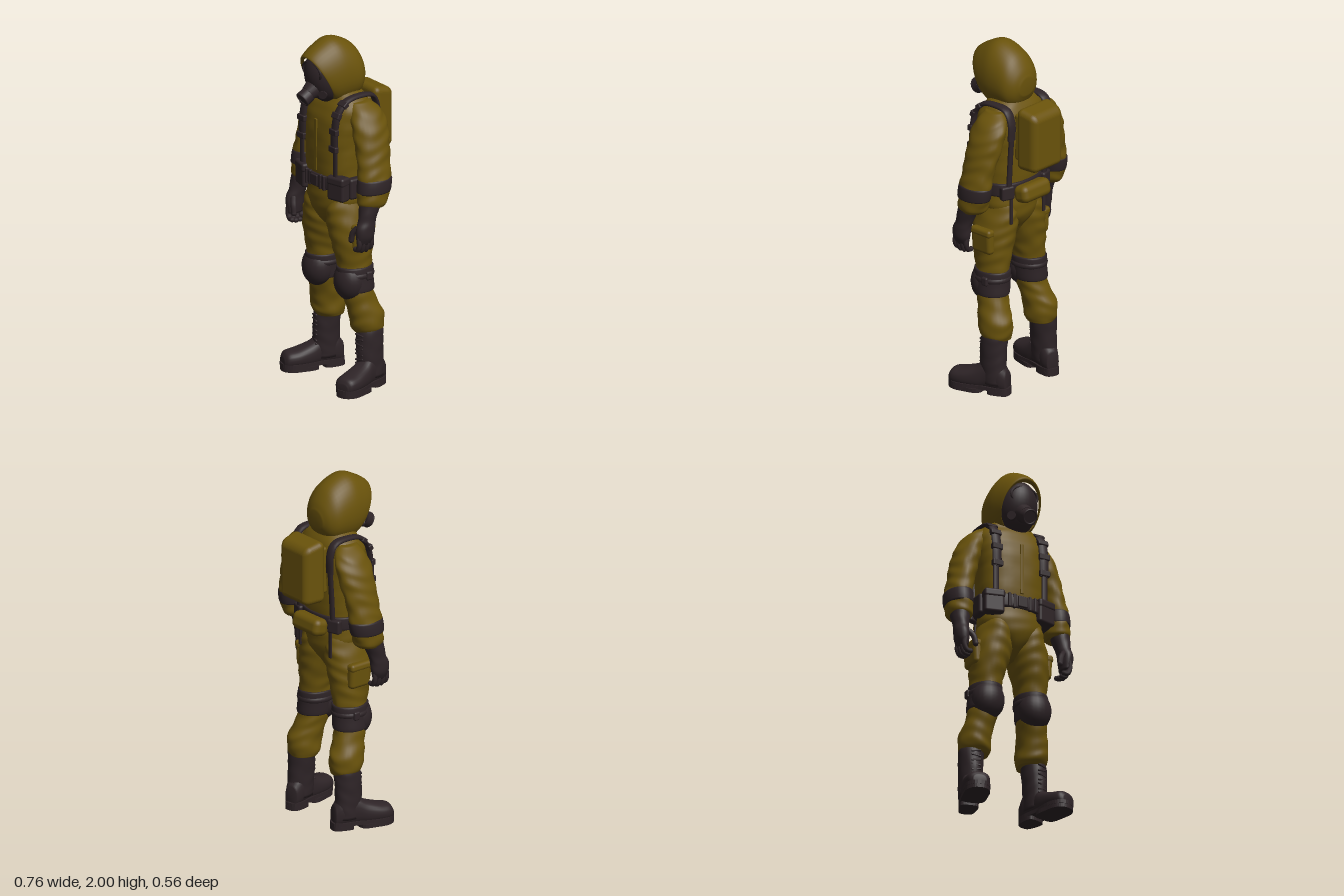
import * as THREE from 'three';
import { RoundedBoxGeometry } from 'three/addons/geometries/RoundedBoxGeometry.js';

const V = (x, y, z) => new THREE.Vector3(x, y, z);

// Smooth loft through cross-sections [x, y, z, radiusX, radiusZ], ordered upwards.
// tilts turn the rings about x (-PI/2: upright rings, ordered front to back); egg narrows their upper half.
function loft(sections, { p = 2, fold = 0, sides = 28, steps = 5, tilts = null, egg = 0, caps = [true, true] } = {}) {
  const mid = new THREE.CatmullRomCurve3(sections.map(s => V(s[0], s[1], s[2])), false, 'catmullrom');
  const rad = new THREE.CatmullRomCurve3(sections.map((s, i) => V(s[3], s[4], tilts ? tilts[i] : 0)), false, 'catmullrom');
  const rows = (sections.length - 1) * steps, pos = [], index = [];
  const pw = v => Math.sign(v) * Math.abs(v) ** (2 / p);
  const ring = (t, k) => {
    const c = mid.getPoint(t), r = rad.getPoint(t);
    for (let j = 0; j < sides; j++) {
      const a = j / sides * Math.PI * 2;
      // cloth folds: soft diagonal waves
      const f = k * (1 + fold * (Math.sin(c.y * 75 + 2 * Math.sin(a * 2 + c.y * 9)) + 0.7 * Math.sin(a * 5 + c.y * 38)));
      const u = pw(Math.cos(a)) * r.x * f * (1 - egg * Math.sin(a)), v = pw(Math.sin(a)) * r.y * f;
      pos.push(c.x + u, c.y - Math.sin(r.z) * v, c.z + Math.cos(r.z) * v);
    }
  };
  if (caps[0]) ring(0, 0);
  for (let i = 0; i <= rows; i++) ring(i / rows, 1);
  if (caps[1]) ring(1, 0);
  const n = pos.length / 3 / sides;
  for (let i = 0; i < n - 1; i++) for (let j = 0; j < sides; j++) {
    const a = i * sides + j, b = i * sides + (j + 1) % sides, d = a + sides, c = b + sides;
    index.push(a, d, b, b, d, c);
  }
  const g = new THREE.BufferGeometry();
  g.setAttribute('position', new THREE.Float32BufferAttribute(pos, 3));
  g.setIndex(index);
  g.computeVertexNormals();
  return g;
}

// Flat rounded band in the yz plane, widened along x
function band(points, x, halfWidth, r) {
  const g = new THREE.TubeGeometry(new THREE.CatmullRomCurve3(points.map(q => V(0, q[0], q[1]))), 40, r, 10);
  g.scale(halfWidth / r, 1, 1);
  return g.translate(x, 0, 0);
}

const box = (w, h, d, r = 0.015) => new RoundedBoxGeometry(w, h, d, 3, r);

export function createModel() {
  const suit = new THREE.MeshStandardMaterial({ color: 0x6a530b });
  const gear = new THREE.MeshStandardMaterial({ color: 0x2e2427 });
  suit.name = 'ochre suit cloth';
  gear.name = 'dark rubber gear';

  const model = new THREE.Group();
  model.name = 'protectiveSuitFigure';
  const left = new THREE.Group();
  left.name = 'leftSide';
  const add = (parent, name, geo, mat, x = 0, y = 0, z = 0, rx = 0, ry = 0, rz = 0) => {
    const m = new THREE.Mesh(geo, mat);
    m.name = name;
    m.position.set(x, y, z);
    m.rotation.set(rx, ry, rz);
    parent.add(m);
    return m;
  };

  // Torso and hips
  add(model, 'jacket', loft([[0, 1.14, .02, .175, .135], [0, 1.25, .022, .185, .145], [0, 1.4, .02, .19, .15], [0, 1.52, .012, .2, .15],
    [0, 1.6, .005, .2, .135], [0, 1.655, 0, .168, .112], [0, 1.7, .01, .11, .09]], { p: 2.5, fold: .008, sides: 40 }), suit);
  add(model, 'trouserSeat', loft([[0, .885, .01, .02, .05], [0, .93, .02, .055, .09], [0, 1, .02, .14, .135], [0, 1.07, .022, .182, .146],
    [0, 1.13, .022, .18, .144], [0, 1.2, .025, .178, .135]], { p: 2.2, fold: .006, sides: 40 }), suit);
  add(model, 'zipPlacket', box(.022, .3, .01, .004), suit, 0, 1.39, .168);

  // Hood, opening forward; each entry is top z, top y, bottom z, bottom y, half width
  const hood = [[.212, 1.895, .085, 1.65, .111], [.235, 1.912, .09, 1.635, .118], [.165, 1.965, .07, 1.62, .132], [.07, 2, .025, 1.62, .14],
    [-.04, 1.955, -.05, 1.635, .132], [-.1, 1.88, -.085, 1.665, .102], [-.122, 1.82, -.115, 1.72, .055]];
  add(model, 'hood', loft(hood.map(([tz, ty, bz, by, w]) => [0, (ty + by) / 2, (tz + bz) / 2, w, Math.hypot(tz - bz, ty - by) / 2]),
    { p: 2.1, egg: .09, sides: 40, tilts: hood.map(([tz, ty, bz, by]) => -Math.atan2(ty - by, tz - bz)), caps: [false, true] }), suit);
  add(model, 'collar', loft([[0, 1.575, .02, .08, .1], [0, 1.65, .02, .118, .095], [0, 1.7, .01, .118, .085]], { fold: .01 }), suit);

  // Gas mask, filling the hood opening
  const face = new THREE.SphereGeometry(1, 32, 20).scale(.112, .152, .1);
  add(model, 'maskFace', face, gear, 0, 1.772, .115, .32);
  add(model, 'visorFrame', new THREE.TorusGeometry(.07, .007, 8, 32).scale(1.15, .75, 1), gear, 0, 1.82, .194, .12);
  add(model, 'maskSnout', new THREE.CylinderGeometry(.042, .068, .09, 24), gear, 0, 1.718, .183, 2.1);
  add(model, 'filterCanister', new THREE.CylinderGeometry(.044, .044, .045, 24), gear, 0, 1.68, .238, 2.1);
  add(model, 'filterRim', new THREE.TorusGeometry(.039, .006, 8, 24), gear, 0, 1.669, .257, .53);
  add(left, 'maskValve', new THREE.CylinderGeometry(.024, .03, .04, 16), gear, .058, 1.7, .16, 1.8, 0, -.7);

  // Belt
  const beltRing = (y, k) => [0, y, .023, .19 + k, .15 + k];
  add(model, 'belt', loft([beltRing(1.15, 0), beltRing(1.16, .005), beltRing(1.215, .005), beltRing(1.225, 0)], { p: 2.5, sides: 40, steps: 2 }), gear);
  add(model, 'buckle', box(.06, .065, .02, .006), gear, 0, 1.187, .175);

  // Backpack, narrowing to the rear with a sloped lid
  const pack = new RoundedBoxGeometry(.25, .36, .13, 5, .034);
  const pp = pack.attributes.position;
  for (let i = 0; i < pp.count; i++) {
    const back = .5 - pp.getZ(i) / .13, up = pp.getY(i) / .36 + .5;
    pp.setX(i, pp.getX(i) * (1.02 - .1 * back));
    if (up > .8) pp.setY(i, pp.getY(i) - .03 * back * back);
    pp.setZ(i, pp.getZ(i) - .012 * (1 - (pp.getX(i) / .125) ** 2) * back);
  }
  pack.computeVertexNormals();
  add(model, 'backpack', pack, suit, 0, 1.503, -.209);
  add(model, 'backpackBase', box(.2, .27, .05), suit, 0, 1.5, -.135);
  add(model, 'lowerBackPouch', box(.22, .1, .1, .035), suit, 0, 1.165, -.155, .2);

  // Harness
  add(left, 'shoulderStrap', band([[1.5, -.136], [1.6, -.135], [1.662, -.105], [1.676, -.01], [1.66, .07], [1.6, .125], [1.5, .148], [1.38, .152]],
    .147, .029, .013), gear);
  add(left, 'lowerFrontStrap', band([[1.4, .148], [1.3, .148], [1.2, .148]], .152, .018, .009), gear);
  add(left, 'lowerBackStrap', band([[1.52, -.13], [1.35, -.118], [1.2, -.11]], .14, .018, .012), gear);
  for (const [y, z, tilt] of [[1.4, .155, 0], [1.5, .152, 0], [1.59, .134, -.4], [1.645, .09, -.9]])
    add(left, 'strapClip', box(.064, .035, .028, .006), gear, .147, y, z, tilt);
  add(left, 'hangingStrap', box(.02, .16, .012, .004), gear, .13, 1.07, -.118);

  // Belt pouches
  add(left, 'frontPouch', box(.115, .135, .065), gear, .158, 1.17, .13, 0, .25);
  add(left, 'frontPouchFlap', box(.12, .05, .07), gear, .158, 1.217, .132, 0, .25);
  add(left, 'sidePouch', box(.05, .12, .09), gear, .2, 1.17, .05);
  add(left, 'backPouch', box(.08, .08, .04, .012), gear, .15, 1.18, -.105, 0, -.3);
  for (const x of [.048, .08]) add(left, 'beltLoop', box(.016, .085, .02, .005), gear, x, 1.187, .17);

  // Arm
  add(left, 'sleeve', loft([[.306, 1.09, .012, .058, .07], [.304, 1.115, .008, .071, .09], [.303, 1.17, 0, .073, .098], [.302, 1.24, -.01, .073, .1],
    [.285, 1.32, -.015, .071, .1], [.26, 1.42, -.025, .074, .105], [.228, 1.52, -.03, .075, .11], [.19, 1.6, -.03, .066, .095],
    [.16, 1.65, -.02, .035, .055]], { fold: .024, steps: 8 }), suit);
  add(left, 'armBand', loft([[.304, 1.168, -.001, .07, .096], [.304, 1.178, -.002, .077, .104], [.302, 1.238, -.01, .077, .105], [.3, 1.248, -.01, .07, .098]],
    { steps: 2 }), gear);

  // Glove
  add(left, 'glove', loft([[.318, .885, .075, .024, .045], [.325, .93, .072, .036, .056], [.325, .98, .068, .04, .057], [.32, 1.02, .055, .042, .052],
    [.316, 1.07, .04, .05, .058], [.312, 1.13, .02, .054, .068]], { fold: .012 }), gear);
  const finger = (name, pts, r) => {
    const c = new THREE.CatmullRomCurve3(pts);
    add(left, name, new THREE.TubeGeometry(c, 10, r, 8), gear);
    const tip = pts[pts.length - 1];
    add(left, name + 'Tip', new THREE.SphereGeometry(r, 8, 6), gear, tip.x, tip.y, tip.z);
  };
  [.032, .06, .088, .114].forEach((z, i) => {
    const y = .855 - (i === 1 || i === 2 ? .008 : 0);
    finger('finger', [V(.325, .93, z), V(.33, .885, z), V(.315, y, z), V(.293, y - .002, z)], .0145);
  });
  finger('thumb', [V(.3, .98, .1), V(.275, .945, .118), V(.265, .9, .122)], .016);

  // Leg
  add(left, 'trouserLeg', loft([[.175, .315, -.055, .075, .078], [.178, .35, -.048, .088, .095], [.178, .42, -.043, .088, .102], [.162, .5, -.015, .083, .092],
    [.148, .6, .01, .083, .093], [.141, .72, .01, .086, .102], [.13, .83, .018, .102, .12], [.112, .93, .02, .111, .132], [.1, 1.03, .021, .094, .136],
    [.095, 1.1, .022, .075, .12]], { fold: .018, steps: 8 }), suit);
  add(left, 'cargoPocket', box(.055, .14, .14, .024), suit, .218, .885, .01, 0, 0, -.06);
  add(left, 'cargoPocketFlap', box(.055, .045, .145, .018), suit, .224, .94, .01, 0, 0, .1);

  // Knee protection: front shell and a wide wrap
  add(left, 'kneePad', new THREE.SphereGeometry(1, 24, 16).scale(.094, .112, .085), gear, .147, .617, .048);
  add(left, 'kneeWrap', loft([[.152, .56, .003, .083, .094], [.152, .57, .003, .091, .102], [.147, .63, .009, .092, .106], [.143, .694, .01, .092, .109],
    [.143, .704, .01, .085, .1]], { steps: 3 }), gear);
  add(left, 'kneeStrap', new THREE.TorusGeometry(.09, .008, 8, 32).scale(1, 1.14, 2).rotateX(Math.PI / 2), gear, .145, .655, .009);
  add(left, 'kneeStrapBuckle', box(.022, .05, .04, .01), gear, .237, .655, -.02);

  // Boot, toes turned outwards
  add(left, 'bootShaft', loft([[.204, .06, -.055, .058, .078], [.203, .14, -.052, .061, .08], [.201, .22, -.05, .065, .08], [.196, .31, -.053, .07, .078],
    [.192, .345, -.055, .068, .074]], { fold: .012 }), gear);
  const foot = new THREE.Group();
  foot.name = 'bootFoot';
  foot.position.set(.207, 0, -.05);
  foot.rotation.y = .28;
  left.add(foot);
  const uppers = [[0, .05, .253, .035, .028], [0, .062, .23, .06, .045], [0, .068, .17, .07, .052], [0, .08, .09, .063, .068],
    [0, .1, .03, .054, .085], [0, .1, -.05, .052, .085], [0, .075, -.095, .036, .06]];
  add(foot, 'bootUpper', loft(uppers, { p: 2.4, tilts: uppers.map(() => -Math.PI / 2) }), gear);
  const slab = (name, pts, h, y) => {
    const shape = new THREE.Shape();
    shape.setFromPoints(new THREE.CatmullRomCurve3(pts.flatMap(([x, z]) => [V(x, -z, 0)])
      .concat(pts.slice().reverse().map(([x, z]) => V(-x, -z, 0))), true).getPoints(40).map(q => new THREE.Vector2(q.x, q.y)));
    add(foot, name, new THREE.ExtrudeGeometry(shape, { depth: h, bevelEnabled: false }).rotateX(-Math.PI / 2), gear, 0, y);
  };
  slab('bootWelt', [[.03, .256], [.064, .22], [.072, .16], [.056, .06], [.05, -.05], [.031, -.1]], .022, .022);
  slab('bootSole', [[.03, .254], [.064, .215], [.07, .15], [.056, .06]], .024, 0);
  slab('bootHeel', [[.046, .01], [.05, -.05], [.031, -.1]], .024, 0);
  for (let i = 0; i < 7; i++)
    add(left, 'bootLace', box(.056, .01, .012, .004), gear, .206, .14 + i * .028, .024, 0, .25, i % 2 ? .15 : -.15);

  // Mirror the left side to the right
  model.add(left);
  const right = new THREE.Group();
  right.name = 'rightSide';
  left.updateMatrixWorld(true);
  left.traverse(m => {
    if (!m.isMesh) return;
    const g = m.geometry.clone().applyMatrix4(m.matrixWorld).scale(-1, 1, 1);
    const src = g.index ? Array.from(g.index.array) : Array.from({ length: g.attributes.position.count }, (_, i) => i);
    for (let i = 0; i < src.length; i += 3) [src[i + 1], src[i + 2]] = [src[i + 2], src[i + 1]];
    g.setIndex(src);
    add(right, m.name, g, m.material);
  });
  model.add(right);
  return model;
}
